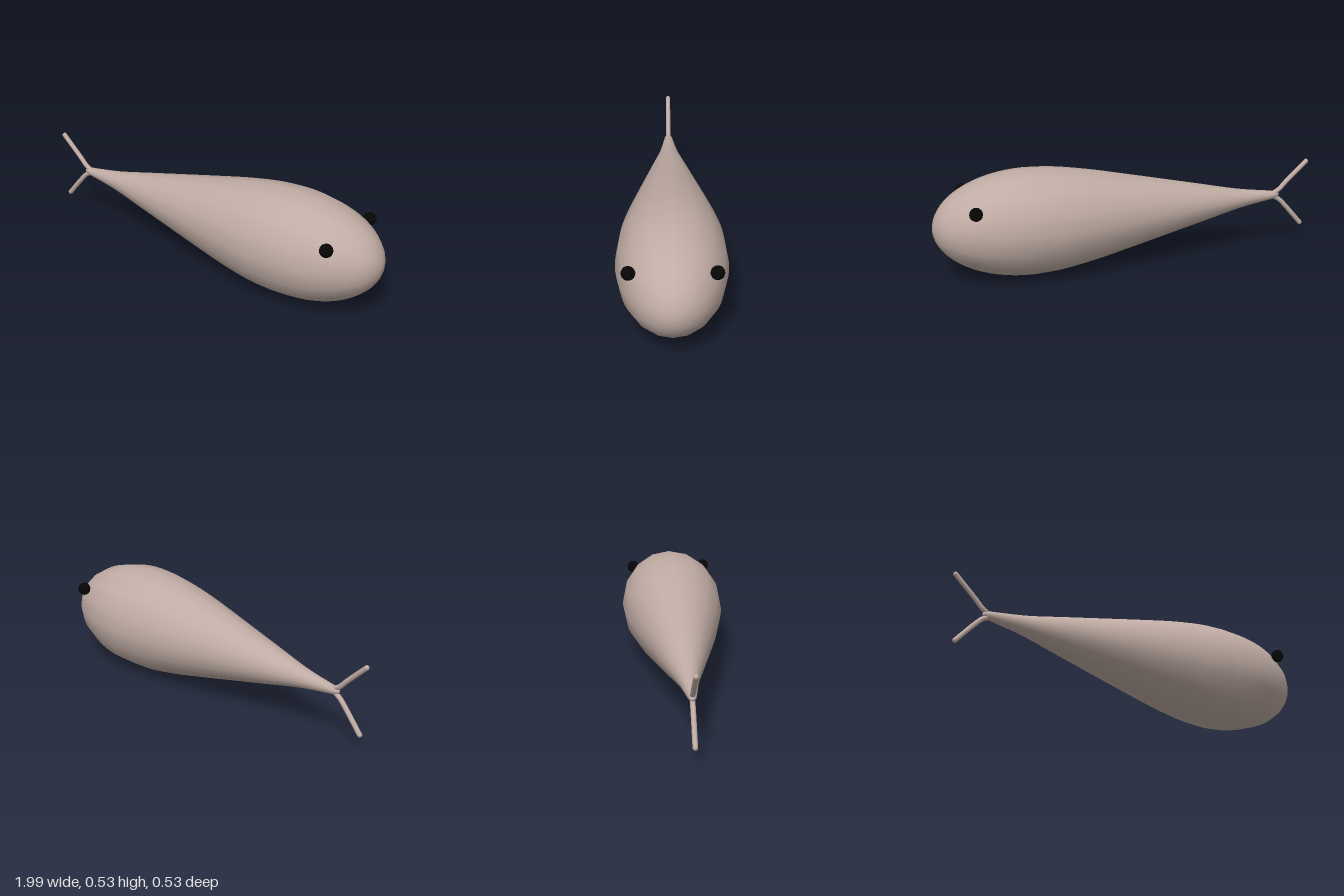
import * as THREE from 'three';

const AXIS_Y = 0.268;

export function createModel() {
  const group = new THREE.Group();
  const skin = new THREE.MeshStandardMaterial({ color: 0xc0aca4 });
  skin.name = 'skin';
  const black = new THREE.MeshStandardMaterial({ color: 0x060606 });
  black.name = 'eyeBlack';

  const add = (name, geometry, material, x = 0, y = 0, z = 0) => {
    const mesh = new THREE.Mesh(geometry, material);
    mesh.name = name;
    mesh.position.set(x, y, z);
    group.add(mesh);
    return mesh;
  };

  // Teardrop body: slender rear profile, elliptical head, turned about x
  const rear = new THREE.SplineCurve([
    [0, -0.835], [0.012, -0.828], [0.021, -0.80], [0.027, -0.76], [0.052, -0.6], [0.097, -0.4],
    [0.142, -0.2], [0.187, 0], [0.230, 0.2], [0.259, 0.38], [0.267, 0.52],
  ].map(([r, x]) => new THREE.Vector2(r, x))).getPoints(40);
  const head = [];
  for (let i = 1; i <= 16; i++) {
    const a = (i / 16) * Math.PI / 2;
    head.push(new THREE.Vector2(i === 16 ? 0 : 0.267 * Math.cos(a), 0.52 + 0.477 * Math.sin(a)));
  }
  rear.forEach((p) => { p.x = Math.max(p.x, 0); });
  const bodyGeometry = new THREE.LatheGeometry([...rear, ...head], 16);
  bodyGeometry.rotateZ(-Math.PI / 2);
  add('body', bodyGeometry, skin, 0, AXIS_Y, 0);

  // Forked tail: two thin rods bending out of the body, with round tips
  const tips = { upperTail: [-0.985, 0.436], lowerTail: [-0.965, 0.096] };
  for (const [name, [x, y]] of Object.entries(tips)) {
    const side = Math.sign(y - AXIS_Y);
    const path = new THREE.CatmullRomCurve3([
      new THREE.Vector3(-0.76, AXIS_Y + side * 0.008, 0),
      new THREE.Vector3(-0.80, AXIS_Y + side * 0.009, 0),
      new THREE.Vector3(-0.836, AXIS_Y + side * 0.028, 0),
      new THREE.Vector3(-0.87, AXIS_Y + side * 0.062, 0),
      new THREE.Vector3(x, y, 0),
    ]);
    add(name, new THREE.TubeGeometry(path, 24, 0.0125, 10), skin);
    add(name + 'Tip', new THREE.SphereGeometry(0.0125, 10, 8), skin, x, y, 0);
  }

  // Eyes, mirrored on both flanks
  for (const s of [1, -1]) {
    add(s > 0 ? 'frontEye' : 'backEye', new THREE.SphereGeometry(0.033, 12, 8), black, 0.815, 0.396, s * 0.198);
  }
  return group;
}
